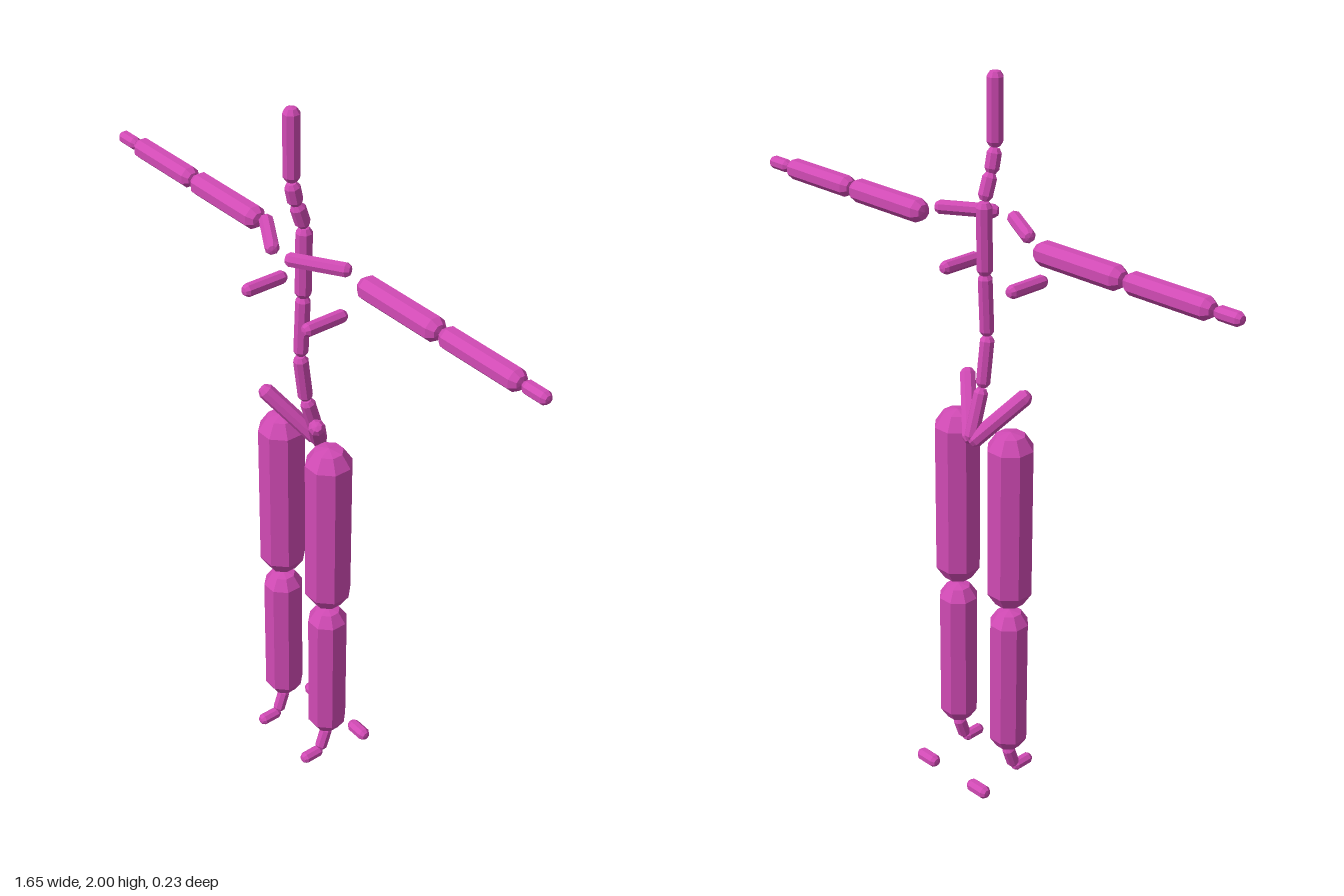
import * as THREE from 'three';

const SIDES = 8;

export function createModel() {
  const model = new THREE.Group();
  model.name = 'boneFigure';
  const magenta = new THREE.MeshStandardMaterial({ color: 0xd04ab4, flatShading: true });
  magenta.name = 'magenta';

  // Faceted capsule whose tips lie at points a and b
  function bone(name, a, b, r) {
    const from = new THREE.Vector3(...a), to = new THREE.Vector3(...b);
    const dir = to.clone().sub(from), half = dir.length() / 2;
    const cap = [[r, half - 0.7 * r], [0.62 * r, half - 0.12 * r], [0, half]];
    const profile = [
      ...cap.map(([x, y]) => new THREE.Vector2(x, -y)).reverse(),
      ...cap.map(([x, y]) => new THREE.Vector2(x, y)),
    ];
    const geometry = new THREE.LatheGeometry(profile, SIDES, Math.PI / SIDES);
    const mesh = new THREE.Mesh(geometry, magenta);
    mesh.name = name;
    mesh.position.copy(from).add(to).multiplyScalar(0.5);
    mesh.quaternion.setFromUnitVectors(new THREE.Vector3(0, 1, 0), dir.normalize());
    model.add(mesh);
  }

  // Central column: name, [y, z] bottom, [y, z] top
  const column = [
    ['lowerSpine', [1.04, -0.03], [1.18, 0.012]],
    ['waistSpine', [1.18, 0.014], [1.32, 0.032]],
    ['middleSpine', [1.32, 0.03], [1.49, 0.022]],
    ['chestSpine', [1.485, 0.022], [1.68, 0.018]],
    ['lowerNeck', [1.68, 0.018], [1.75, 0.042]],
    ['upperNeck', [1.745, 0.042], [1.81, 0.056]],
    ['head', [1.81, 0.055], [2.0, 0.055]],
  ];
  for (const [name, [y0, z0], [y1, z1]] of column) {
    bone(name, [0, y0, z0], [0, y1, z1], name === 'head' || name === 'chestSpine' ? 0.022 : 0.02);
  }

  // Mirrored limbs
  for (const [side, s] of [['left', 1], ['right', -1]]) {
    const pair = (name, [x0, y0, z0], [x1, y1, z1], r) =>
      bone(side + name, [s * x0, y0, z0], [s * x1, y1, z1], r);

    pair('Shoulder', [0.025, 1.63, 0.095], [0.168, 1.63, 0.008], 0.019);
    pair('Breast', [0.12, 1.48, -0.016], [0.12, 1.48, 0.117], 0.018);
    pair('UpperArm', [0.2, 1.607, 0.002], [0.48, 1.607, 0.002], 0.032);
    pair('Forearm', [0.485, 1.607, 0.002], [0.745, 1.607, 0.002], 0.029);
    pair('Hand', [0.748, 1.607, 0.002], [0.826, 1.607, 0.002], 0.018);

    pair('Pelvis', [0, 1.035, -0.03], [0.115, 1.182, 0.07], 0.022);
    pair('Thigh', [0.1, 0.57, 0.018], [0.1, 1.085, 0.018], 0.064);
    pair('Shin', [0.1, 0.108, 0.018], [0.1, 0.553, 0.018], 0.055);
    pair('Foot', [0.1, 0.105, 0.016], [0.1, 0.03, 0.042], 0.018);
    pair('Toe', [0.1, 0.025, 0.038], [0.1, 0.025, 0.108], 0.017);
    pair('Heel', [0.065, 0.02, -0.1], [0.14, 0.02, -0.1], 0.019);
  }
  return model;
}
